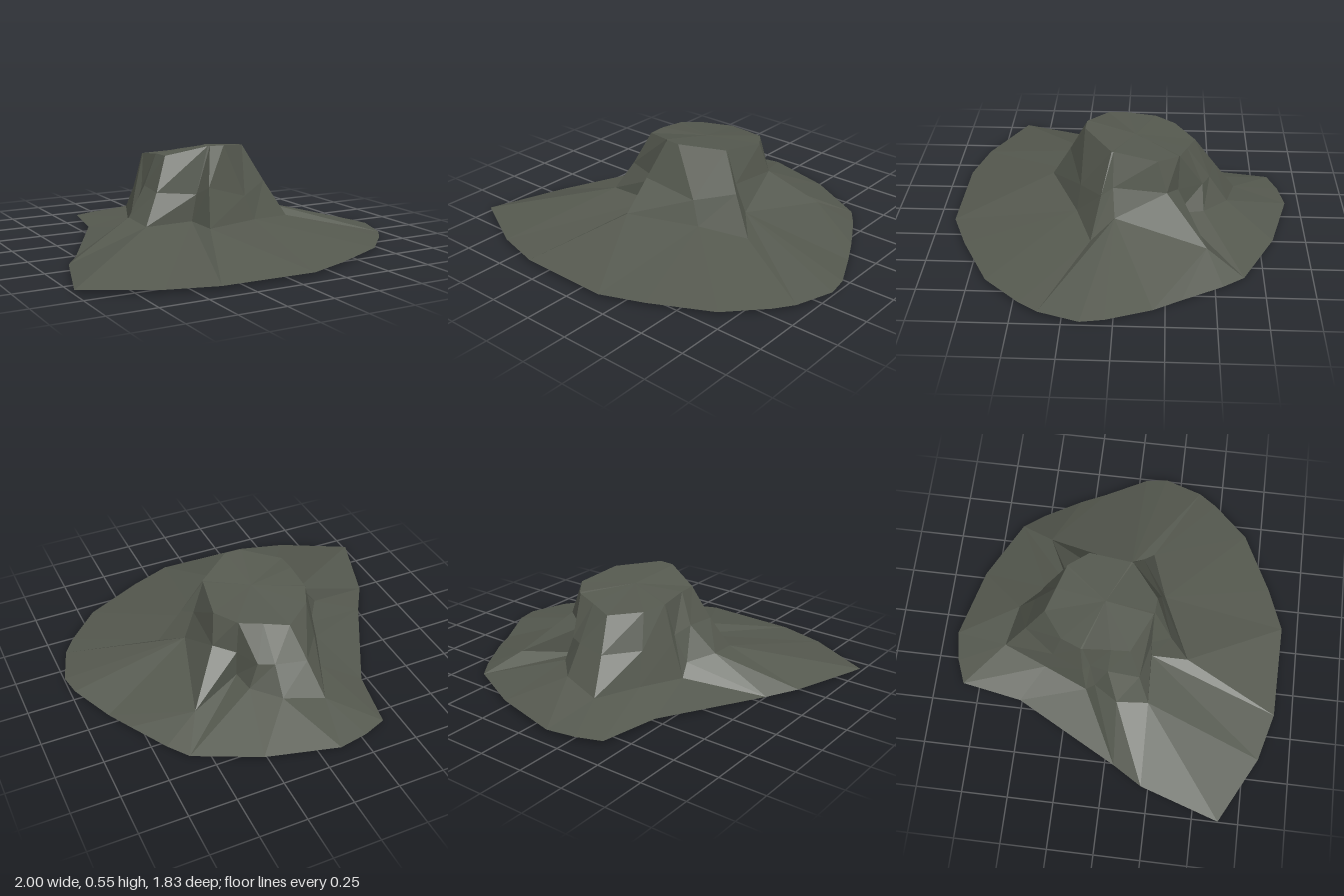
import * as THREE from 'three';

// Outer brim edge, clockwise seen from above: [x, y, z]
const rim = [
  [-0.4, 0.02, -0.84], [-0.27, 0.02, -0.89], [-0.11, 0.02, -0.92], [0.27, 0.02, -0.82],
  [0.6, 0.01, -0.65], [0.68, 0.01, -0.54], [0.8, 0.01, -0.33], [0.87, 0, -0.19],
  [0.98, 0.02, 0.04], [1, 0.02, 0.16], [0.93, 0.02, 0.37], [0.86, 0.02, 0.47],
  [0.68, 0.02, 0.66], [0.36, 0.02, 0.82], [0.13, 0.02, 0.91], [-0.38, 0.02, 0.9],
  [-0.64, 0.02, 0.83], [-1, 0.02, 0.64], [-0.86, 0.02, 0.21], [-0.76, 0.01, 0.05],
  [-0.46, 0.02, -0.51],
];
// Crown ribs, clockwise: [foot, waist, crest]
const ribs = [
  [[-0.17, 0.09, -0.63], [-0.12, 0.27, -0.51], [-0.07, 0.44, -0.4]],
  [[0.05, 0.13, -0.58], [0.05, 0.28, -0.48], [0.06, 0.46, -0.355]],
  [[0.18, 0.14, -0.45], [0.13, 0.28, -0.44], [0.18, 0.475, -0.315]],
  [[0.19, 0.13, -0.31], [0.19, 0.28, -0.31], [0.19, 0.48, -0.31]],
  [[0.49, 0.11, -0.46], [0.3, 0.32, -0.25], [0.27, 0.49, -0.2]],
  [[0.35, 0.19, 0.02], [0.29, 0.34, 0.03], [0.23, 0.52, 0.03]],
  [[0.46, 0.12, 0.14], [0.34, 0.32, 0.09], [0.23, 0.52, 0.04]],
  [[0.2, 0.14, 0.23], [0.15, 0.27, 0.21], [0.03, 0.55, 0.19]],
  [[-0.16, 0.16, 0.39], [-0.11, 0.35, 0.285], [-0.05, 0.55, 0.185]],
  [[-0.16, 0.16, 0.19], [-0.13, 0.3, 0.185], [-0.06, 0.55, 0.18]],
  [[-0.43, 0.16, 0.2], [-0.34, 0.32, 0.14], [-0.26, 0.5, 0.08]],
  [[-0.45, 0.18, 0.03], [-0.33, 0.33, -0.03], [-0.265, 0.5, -0.02]],
  [[-0.36, 0.15, -0.1], [-0.3, 0.3, -0.13], [-0.27, 0.48, -0.17]],
  [[-0.37, 0.08, -0.15], [-0.32, 0.28, -0.17], [-0.27, 0.48, -0.18]],
  [[-0.27, 0.09, -0.39], [-0.25, 0.27, -0.34], [-0.22, 0.46, -0.29]],
];
const [foot, waist, crest] = [0, 1, 2].map((level) => ribs.map((rib) => rib[level]));

// Running angle of each loop point around the crown, closed at the end
function unwrap(loop) {
  const out = [];
  for (let i = 0; i <= loop.length; i++) {
    const [x, , z] = loop[i % loop.length];
    let a = Math.atan2(z + 0.1, x);
    while (i > 0 && a < out[i - 1] - 0.5) a += 2 * Math.PI;
    out.push(a);
  }
  return out;
}

// Joins two loops of different length, taking the edge whose middle comes first
function stitch(inner, outer) {
  const a = unwrap(inner), b = unwrap(outer), tris = [];
  let i = 0, j = 0;
  while (i < inner.length || j < outer.length) {
    const p = inner[i % inner.length], q = outer[j % outer.length];
    if (j >= outer.length || (i < inner.length && a[i] + a[i + 1] < b[j] + b[j + 1])) {
      tris.push(p, inner[++i % inner.length], q);
    } else {
      tris.push(p, outer[++j % outer.length], q);
    }
  }
  return tris;
}

// Joins two loops of equal length point by point
function band(upper, lower) {
  return upper.flatMap((u, i) => {
    const k = (i + 1) % upper.length;
    return [u, lower[k], lower[i], u, upper[k], lower[k]];
  });
}

function fan(loop, center) {
  return loop.flatMap((p, i) => [center, loop[(i + 1) % loop.length], p]);
}

export function createModel() {
  const group = new THREE.Group();
  const stone = new THREE.MeshStandardMaterial({
    color: 0x55594f, flatShading: true, side: THREE.DoubleSide,
  });
  stone.name = 'darkOliveGrey';

  const add = (name, tris) => {
    const geometry = new THREE.BufferGeometry();
    geometry.setAttribute('position', new THREE.Float32BufferAttribute(tris.flat(), 3));
    geometry.computeVertexNormals();
    const mesh = new THREE.Mesh(geometry, stone);
    mesh.name = name;
    group.add(mesh);
  };

  add('brim', stitch(foot, rim));
  add('crownLower', band(waist, foot));
  add('crownUpper', band(crest, waist));
  add('crownTop', fan(crest, [0, 0.505, -0.08]));
  return group;
}
